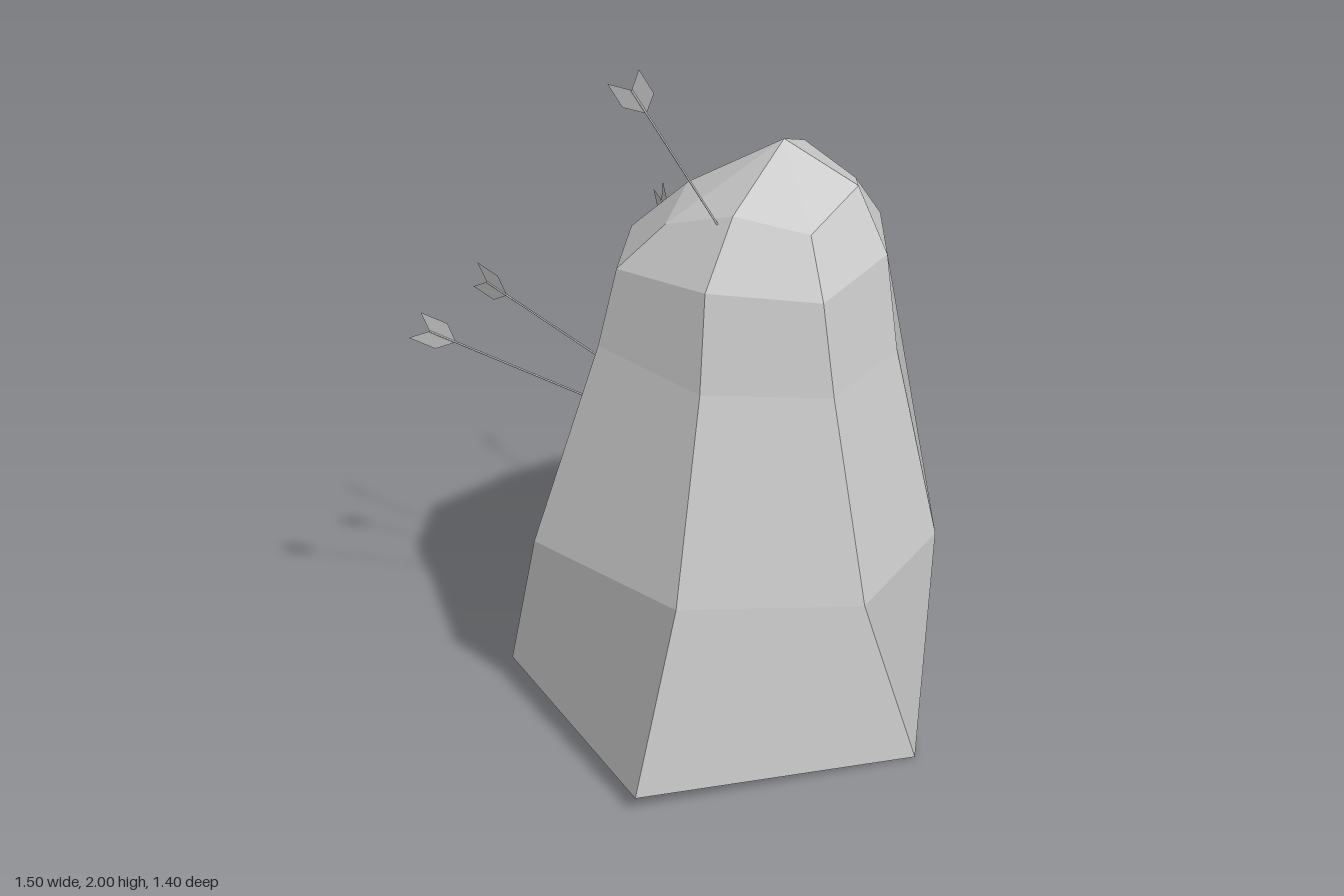
import * as THREE from 'three';

const material = () => new THREE.MeshStandardMaterial({ color: 0xcccccc, side: THREE.DoubleSide });

// Rock rings from the ground up, eight corners each, starting at the front and turning towards +x
const rings = [
  [[0.10, 0.045, 0.685], [0.745, 0, 0.175], [0.65, 0.03, -0.11], [0.585, 0.03, -0.55],
    [0.22, 0.07, -0.68], [-0.18, 0.2, -0.41], [-0.475, 0.055, -0.09], [-0.47, 0.08, 0.17]],
  [[0.17, 0.57, 0.55], [0.61, 0.51, 0.265], [0.715, 0.575, -0.08], [0.54, 0.525, -0.42],
    [0.19, 0.585, -0.54], [-0.19, 0.55, -0.44], [-0.385, 0.58, -0.085], [-0.345, 0.545, 0.28]],
  [[0.17, 1.115, 0.36], [0.505, 1.11, 0.25], [0.585, 1.115, -0.085], [0.47, 1.15, -0.455],
    [0.18, 1.12, -0.5], [-0.11, 1.13, -0.38], [-0.235, 1.11, -0.085], [-0.17, 1.145, 0.215]],
  [[0.17, 1.39, 0.32], [0.46, 1.36, 0.215], [0.55, 1.395, -0.08], [0.44, 1.375, -0.41],
    [0.17, 1.385, -0.535], [-0.065, 1.36, -0.35], [-0.18, 1.38, -0.08], [-0.13, 1.36, 0.175]],
  [[0.205, 1.565, 0.2], [0.4, 1.515, 0.14], [0.46, 1.575, -0.095], [0.38, 1.49, -0.36],
    [0.2, 1.545, -0.46], [0.03, 1.49, -0.31], [-0.02, 1.525, -0.095], [-0.005, 1.49, 0.135]],
];
const peak = [0.245, 1.675, -0.115];
const underside = [0.155, 0.06, -0.04];

function createRock() {
  const positions = [];
  const normals = [];
  // One facet of three or four corners, with a single normal across it
  const addFacet = (...corners) => {
    const [a, b, c, d = a] = corners.map((p) => new THREE.Vector3(...p));
    const normal = c.clone().sub(a).cross(d === a ? c.clone().sub(b).negate() : d.clone().sub(b)).normalize();
    if (d === a) normal.copy(b).sub(a).cross(c.clone().sub(a)).normalize();
    const triangles = d === a ? [a, b, c] : [a, b, c, a, c, d];
    for (const p of triangles) {
      positions.push(...p);
      normals.push(...normal);
    }
  };

  const sides = rings[0].length;
  const top = rings.length - 1;
  for (let i = 0; i < sides; i++) {
    const next = (i + 1) % sides;
    for (let r = 0; r < top; r++) {
      addFacet(rings[r][i], rings[r][next], rings[r + 1][next], rings[r + 1][i]);
    }
    addFacet(rings[top][i], rings[top][next], peak);
    addFacet(rings[0][next], rings[0][i], underside);
  }

  const geometry = new THREE.BufferGeometry();
  geometry.setAttribute('position', new THREE.Float32BufferAttribute(positions, 3));
  geometry.setAttribute('normal', new THREE.Float32BufferAttribute(normals, 3));
  const rock = new THREE.Mesh(geometry, material());
  rock.name = 'rock';
  return rock;
}

// Arrow stuck in the rock: y runs from the buried end to the tail, the feathers spread along `spread`
function createArrow(tip, tail, spread) {
  const start = new THREE.Vector3(...tip);
  const axis = new THREE.Vector3(...tail).sub(start);
  const length = axis.length();
  axis.normalize();
  const across = new THREE.Vector3(...spread);
  across.addScaledVector(axis, -across.dot(axis)).normalize();
  const normal = new THREE.Vector3().crossVectors(across, axis);

  const arrow = new THREE.Group();
  arrow.name = 'arrow';
  const shaftLength = length - 0.035;
  const shaft = new THREE.Mesh(new THREE.CylinderGeometry(0.003, 0.003, shaftLength, 5), material());
  shaft.name = 'shaft';
  shaft.position.y = shaftLength / 2;

  // Swallow-tailed feather outline
  const outline = [[0, -0.114], [0.045, -0.07], [0.045, 0.01], [0, -0.035], [-0.045, 0.01], [-0.045, -0.07]];
  const shape = new THREE.Shape(outline.map(([x, y]) => new THREE.Vector2(x, y)));
  const feathers = new THREE.Mesh(new THREE.ShapeGeometry(shape), material());
  feathers.name = 'feathers';
  feathers.position.y = length;

  arrow.add(shaft, feathers);
  arrow.quaternion.setFromRotationMatrix(new THREE.Matrix4().makeBasis(across, axis, normal));
  arrow.position.copy(start);
  return arrow;
}

export function createModel() {
  const model = new THREE.Group();
  model.name = 'rockWithArrows';
  model.add(
    createRock(),
    createArrow([0.165, 1.53, 0.195], [-0.025, 1.97, 0.375], [0.075, 0.03, -0.02]),
    createArrow([-0.09, 0.75, -0.43], [-0.315, 1.25, -0.68], [0, 1, 0]),
    createArrow([-0.265, 0.925, -0.125], [-0.73, 1.075, -0.265], [0, 1, 0.1]),
    createArrow([-0.265, 0.9, 0.05], [-0.71, 1.115, 0.2], [0, 1, 0.1]),
  );
  return model;
}
